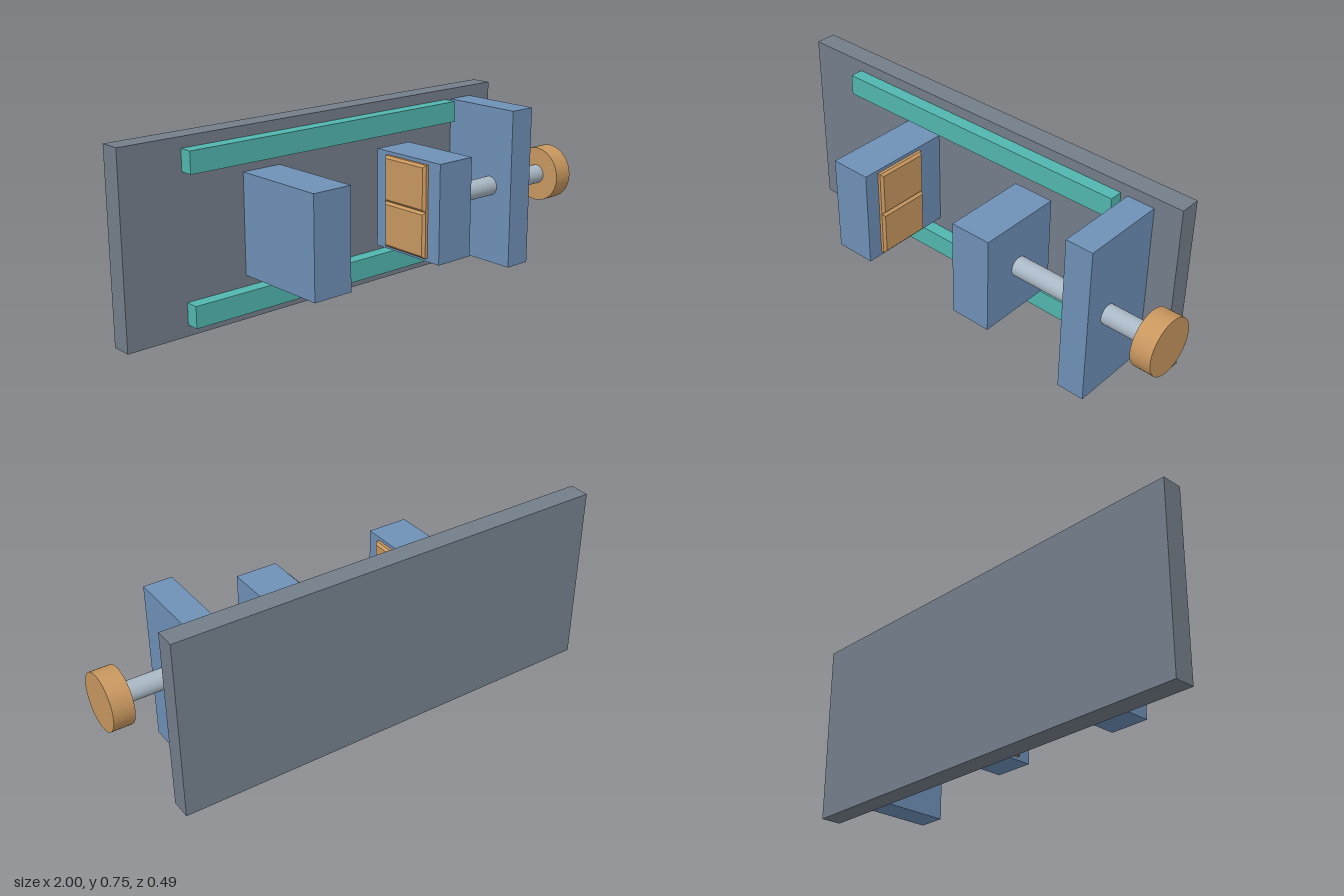
import * as THREE from 'three';

const material = (name, color) => Object.assign(new THREE.MeshStandardMaterial({ color }), { name });

export function createModel() {
  const group = new THREE.Group();
  const grey = material('slate grey', 0x747e8a);
  const blue = material('steel blue', 0x6e90b7);
  const teal = material('teal', 0x52b6af);
  const tan = material('tan', 0xc8975f);
  const silver = material('silver', 0xa9b8c5);

  const add = (name, geometry, mat) => {
    const mesh = new THREE.Mesh(geometry, mat);
    mesh.name = name;
    group.add(mesh);
    return mesh;
  };
  // Box given by its lower and upper limits on each axis
  const box = (name, mat, [x0, x1], [y0, y1], [z0, z1]) =>
    add(name, new THREE.BoxGeometry(x1 - x0, y1 - y0, z1 - z0), mat)
      .position.set((x0 + x1) / 2, (y0 + y1) / 2, (z0 + z1) / 2);
  // Cylinder lying along x on the screw axis
  const axisY = 0.378, axisZ = 0.073;
  const rod = (name, mat, radius, x0, x1) =>
    add(name, new THREE.CylinderGeometry(radius, radius, x1 - x0, 48).rotateZ(-Math.PI / 2), mat)
      .position.set((x0 + x1) / 2, axisY, axisZ);

  // Back plate and the two guide rails
  box('backPlate', grey, [-1, 0.852], [0, 0.755], [-0.247, -0.161]);
  box('lowerRail', teal, [-0.74, 0.59], [0.045, 0.132], [-0.163, -0.106]);
  box('upperRail', teal, [-0.74, 0.59], [0.626, 0.712], [-0.163, -0.106]);

  // Jaws and screw support
  box('fixedJaw', blue, [-0.472, -0.3], [0.176, 0.58], [-0.163, 0.247]);
  box('movingJaw', blue, [0.15, 0.323], [0.176, 0.58], [-0.106, 0.247]);
  box('screwSupport', blue, [0.62, 0.735], [0.046, 0.711], [-0.163, 0.19]);

  // Bevelled jaw pads, each in two halves that meet in a V groove
  const bevel = 0.01, padWidth = 0.228, padHalf = 0.188;
  const w = padWidth / 2 - bevel, h = padHalf / 2 - bevel;
  const outline = new THREE.Shape([[-w, -h], [w, -h], [w, h], [-w, h]].map(p => new THREE.Vector2(...p)));
  const padGeometry = new THREE.ExtrudeGeometry(outline, {
    depth: 0.025, bevelEnabled: true, bevelThickness: bevel, bevelSize: bevel, bevelSegments: 1,
  }).translate(0, 0, -0.025 - bevel); // outer face at z = 0
  for (const [name, x, side] of [['fixedJawPad', -0.278, 1], ['movingJawPad', 0.128, -1]]) {
    for (const dir of [-1, 1]) {
      const pad = add(name, padGeometry, tan);
      pad.rotation.y = side * Math.PI / 2;
      pad.position.set(x, axisY + dir * padHalf / 2, 0.07);
    }
  }

  // Screw and its knob
  rod('screw', silver, 0.04, 0.31, 0.93);
  rod('knob', tan, 0.115, 0.915, 1);

  return group;
}
